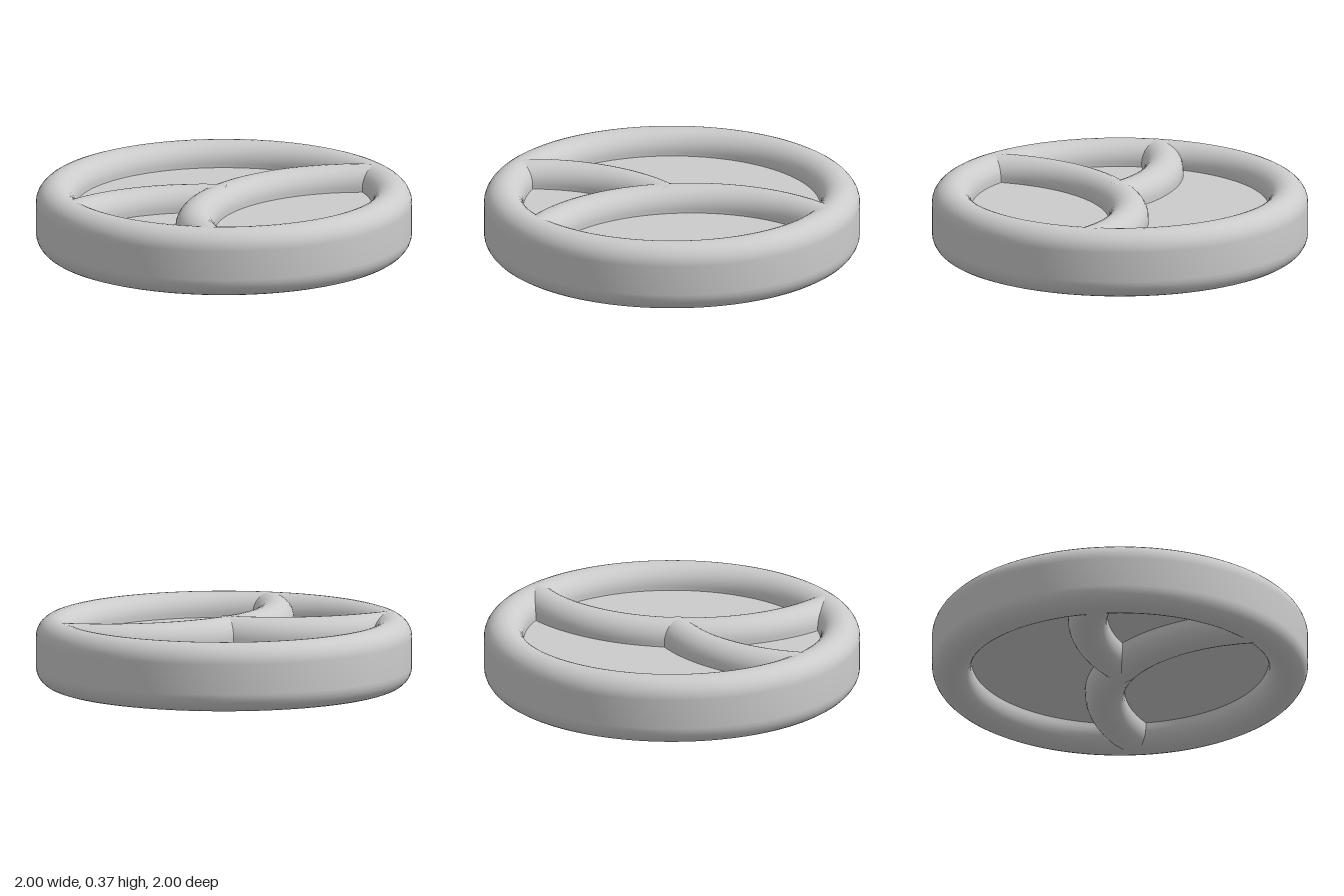
import * as THREE from 'three';

const HEIGHT = 0.37;   // overall thickness
const TUBE = 0.105;    // half width of the rounded bar section
const RADIUS = 0.895;  // centreline radius shared by rim and spokes

const material = new THREE.MeshStandardMaterial({ color: 0xcccccc });

// Upright capsule section, counter-clockwise from the middle of the outer wall
function barProfile(steps = 14) {
  const points = [new THREE.Vector2(RADIUS + TUBE, HEIGHT / 2)];
  for (const [centreY, start] of [[HEIGHT - TUBE, 0], [TUBE, Math.PI]]) {
    for (let i = 0; i <= steps; i++) {
      const a = start + (Math.PI * i) / steps;
      points.push(new THREE.Vector2(RADIUS + TUBE * Math.cos(a), centreY + TUBE * Math.sin(a)));
    }
  }
  points.push(points[0].clone());
  return points;
}

// Sweeps the bar section around a vertical axis at (x, z), angles in degrees
function sweptBar(name, x, z, startDeg, lengthDeg, segments) {
  const rad = THREE.MathUtils.degToRad;
  const geometry = new THREE.LatheGeometry(barProfile(), segments, rad(startDeg), rad(lengthDeg));
  const mesh = new THREE.Mesh(geometry, material);
  mesh.name = name;
  mesh.position.set(x, 0, z);
  return mesh;
}

export function createModel() {
  const group = new THREE.Group();
  group.name = 'spokedDisc';

  // Outer ring
  group.add(sweptBar('rim', 0, 0, 0, 360, 128));

  // Long spoke crossing the middle, and the short one that joins it;
  // their ends are buried inside the other bars
  const cx = RADIUS / 2;
  const cz = RADIUS * Math.sqrt(3) / 2;
  group.add(sweptBar('longSpoke', cx, cz, 150, 120, 48));
  group.add(sweptBar('shortSpoke', -cx - 0.052, cz, 146, 60, 24));

  // Flat plate filling the ring
  const plate = new THREE.Mesh(new THREE.CylinderGeometry(0.85, 0.85, 0.117, 96), material);
  plate.name = 'centrePlate';
  plate.position.y = HEIGHT / 2;
  group.add(plate);

  return group;
}
